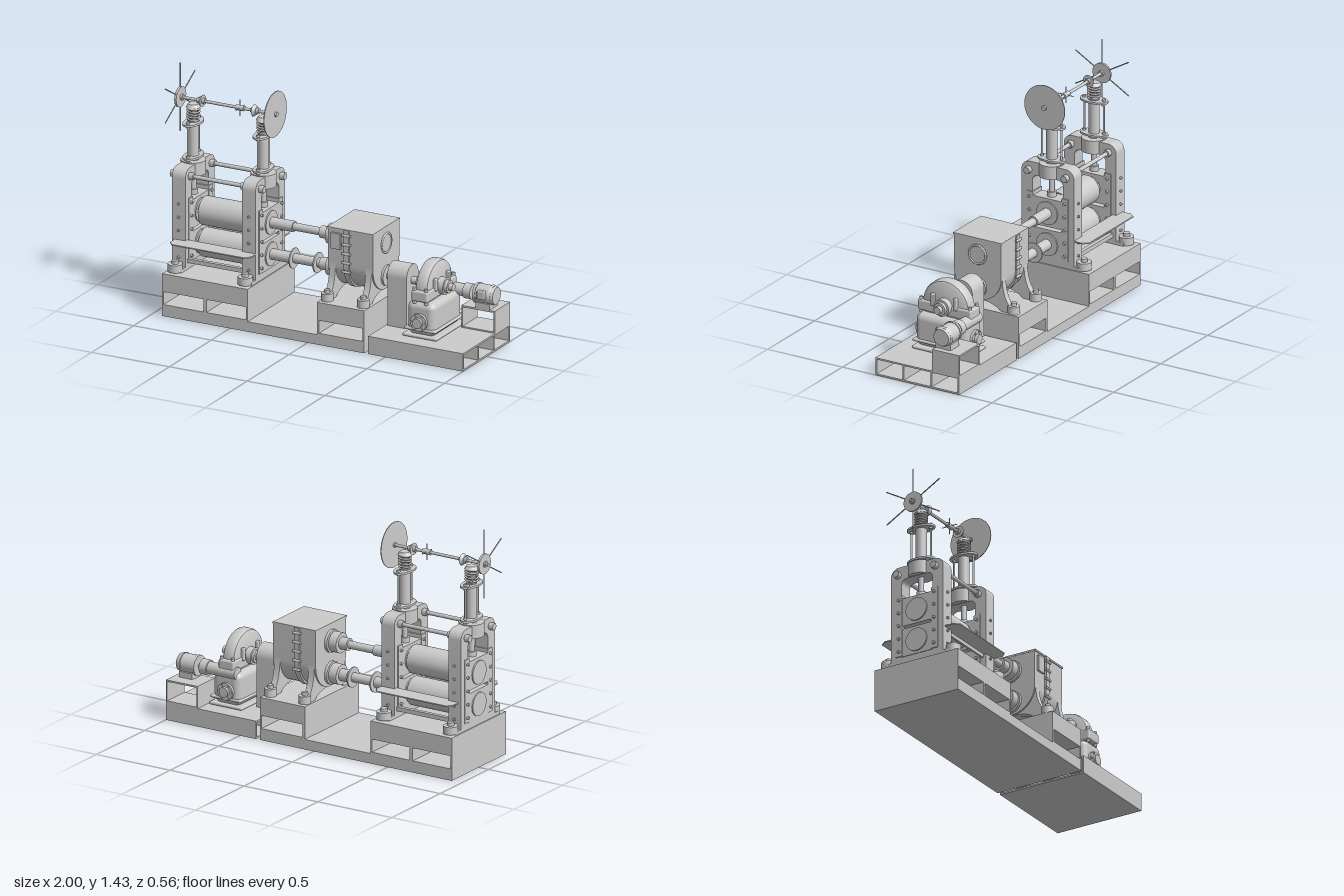
import * as THREE from 'three';
import { toCreasedNormals } from 'three/addons/utils/BufferGeometryUtils.js';
import { RoundedBoxGeometry } from 'three/addons/geometries/RoundedBoxGeometry.js';

const mat = new THREE.MeshStandardMaterial({ color: 0xcccccc });
let root;

function add(name, geo, x = 0, y = 0, z = 0) {
  const m = new THREE.Mesh(geo, mat);
  m.name = name;
  m.position.set(x, y, z);
  root.add(m);
  return m;
}

// Box given by its limits, optionally with rounded edges
function box(name, x0, x1, y0, y1, z0, z1, r = 0) {
  const s = [x1 - x0, y1 - y0, z1 - z0];
  const geo = r ? new RoundedBoxGeometry(...s, 3, r) : new THREE.BoxGeometry(...s);
  return add(name, geo, (x0 + x1) / 2, (y0 + y1) / 2, (z0 + z1) / 2);
}

// Cylinder from a to b along one axis; c holds the two other coordinates in order
function rod(name, axis, r, a, b, c, sides = 32, r2 = r) {
  const geo = new THREE.CylinderGeometry(r2, r, b - a, sides);
  const mid = (a + b) / 2;
  if (axis === 'x') return add(name, geo.rotateZ(-Math.PI / 2), mid, c[0], c[1]);
  if (axis === 'z') return add(name, geo.rotateX(Math.PI / 2), c[0], c[1], mid);
  return add(name, geo, c[0], mid, c[1]);
}

// Extrude a (z, y) shape from x0 to x1
function slab(name, shape, x0, x1) {
  const geo = new THREE.ExtrudeGeometry(shape, { depth: x1 - x0, bevelEnabled: false, curveSegments: 20 });
  geo.rotateY(Math.PI / 2);
  return add(name, toCreasedNormals(geo, 0.5), x0, 0, 0);
}

// Upright outline with two rounded top corners
function arch(P, w, y0, y1, r) {
  const s = new P();
  s.moveTo(-w, y0).lineTo(w, y0).lineTo(w, y1 - r);
  s.absarc(w - r, y1 - r, r, 0, Math.PI / 2, false);
  s.lineTo(-w + r, y1);
  s.absarc(-w + r, y1 - r, r, Math.PI / 2, Math.PI, false);
  s.lineTo(-w, y0);
  return s;
}

function buildBases() {
  box('basePlate', -0.935, 0.365, 0, 0.06, -0.28, 0.28);
  // Pedestals with openings running from front to back
  const pedestal = (name, x0, x1, posts) => {
    box(name + 'Top', x0, x1, 0.147, 0.255, -0.28, 0.28);
    box(name + 'Floor', x0, x1, 0.06, 0.07, -0.28, 0.28);
    for (const [a, b] of posts) box(name + 'Web', a, b, 0.07, 0.147, -0.28, 0.28);
  };
  pedestal('millPedestal', -0.935, -0.385, [[-0.935, -0.925], [-0.67, -0.65], [-0.395, -0.385]]);
  pedestal('gearPedestal', 0.06, 0.365, [[0.06, 0.075], [0.353, 0.365]]);
  // Hollow drive base with three cells open at the end
  box('driveBaseFloor', 0.39, 1, 0, 0.01, -0.28, 0.28);
  box('driveBaseTop', 0.39, 1, 0.097, 0.107, -0.28, 0.28);
  for (const z of [-0.275, -0.093, 0.093, 0.275]) box('driveBaseWeb', 0.39, 1, 0.01, 0.097, z - 0.005, z + 0.005);
  // Motor stand
  box('motorStandTop', 0.785, 1, 0.23, 0.24, -0.28, -0.1);
  box('motorStandFloor', 0.785, 1, 0.107, 0.115, -0.28, -0.1);
  for (const x of [0.785, 0.992]) box('motorStandSide', x, x + 0.008, 0.115, 0.23, -0.28, -0.1);
}

function bolt(x, y, z, r = 0.035) {
  rod('footPad', 'y', r, y, y + 0.045, [x, z]);
  rod('footNut', 'y', r * 0.5, y + 0.045, y + 0.065, [x, z], 6);
}

function buildHousing(cx, out) {
  const x0 = cx - 0.043, x1 = cx + 0.043;
  const shape = arch(THREE.Shape, 0.175, 0.29, 0.86, 0.055);
  shape.holes.push(arch(THREE.Path, 0.103, 0.33, 0.782, 0.035));
  slab('millHousing', shape, x0, x1);
  rod('housingBoss', 'y', 0.073, 0.785, 0.865, [cx, 0]);
  box('housingSill', x0, x1, 0.255, 0.29, -0.175, 0.175);
  for (const s of [-1, 1]) {
    box('housingFoot', x0, x1, 0.255, 0.275, Math.min(s * 0.17, s * 0.225), Math.max(s * 0.17, s * 0.225));
    bolt(cx, 0.26, s * 0.217, 0.043);
    rod('tieNut', 'x', 0.022, cx - 0.073, cx + 0.073, [0.81, s * 0.125], 6);
    // Guide strips with bolt rows on the housing legs
    box('guideStrip', x0 - 0.006, x1 + 0.006, 0.3, 0.68, s * 0.118 - 0.022, s * 0.118 + 0.022);
    for (let i = 0; i < 5; i++) {
      rod('stripBolt', 'x', 0.009, x0 - 0.018, x1 + 0.018, [0.33 + i * 0.08, s * 0.118], 8);
      rod('sideBolt', 'z', 0.008, Math.min(s * 0.17, s * 0.185), Math.max(s * 0.17, s * 0.185), [cx, 0.33 + i * 0.08], 8);
    }
  }
  // Bearing chocks
  for (const y of [0.38, 0.57]) {
    box('bearingChock', x0 - 0.004, x1 + 0.004, y - 0.085, y + 0.088, -0.1, 0.1);
    rod('chockCover', 'x', 0.07, cx - 0.055, cx + 0.055, [y, 0]);
  }
  // Screw-down column
  rod('pressScrew', 'y', 0.017, 0.66, 0.8, [cx, 0], 20);
  rod('screwFoot', 'y', 0.027, 0.66, 0.69, [cx, 0], 20);
  rod('screwColumn', 'y', 0.032, 0.86, 1.1, [cx, 0]);
  for (const y of [0.88, 1.083]) {
    rod('columnFlange', 'y', 0.05, y, y + 0.012, [cx, 0]).scale.z = 1.8;
    for (const s of [-1, 1]) rod('flangeNut', 'y', 0.011, y - 0.012, y + 0.024, [cx, s * 0.065], 6);
  }
  for (const s of [-1, 1]) rod('columnStud', 'y', 0.006, 0.865, 1.105, [cx, s * 0.065], 12);
  rod('screwHead', 'y', 0.024, 1.09, 1.2, [cx, 0]);
  const pts = [];
  for (let i = 0; i <= 80; i++) {
    const a = i / 80 * Math.PI * 10;
    pts.push(new THREE.Vector3(0.034 * Math.cos(a), 1.105 + 0.08 * i / 80, 0.034 * Math.sin(a)));
  }
  add('screwSpring', new THREE.TubeGeometry(new THREE.CatmullRomCurve3(pts), 160, 0.006, 8), cx, 0, 0);
  // Bevel gears on column and shaft
  rod('bevelGear', 'y', 0.042, 1.18, 1.2, [cx, 0], 24, 0.03);
  const gx = cx - out * 0.052;
  rod('shaftBevelGear', 'x', out > 0 ? 0.036 : 0.024, gx - 0.009, gx + 0.009, [1.225, 0], 24, out > 0 ? 0.024 : 0.036);
  rod('shaftGearHub', 'x', 0.017, gx - 0.025, gx + 0.025, [1.225, 0], 20);
}

function buildMill() {
  buildHousing(-0.885, -1);
  buildHousing(-0.434, 1);
  for (const y of [0.38, 0.57]) {
    rod('roll', 'x', 0.085, -0.81, -0.5, [y, 0], 48);
    rod('rollNeck', 'x', 0.05, -0.9, -0.42, [y, 0]);
  }
  for (const s of [-1, 1]) {
    rod('tieRod', 'x', 0.012, -0.95, -0.37, [0.81, s * 0.125], 20);
    box('lowerCrossBar', -0.85, -0.47, 0.295, 0.32, s * 0.14 - 0.012, s * 0.14 + 0.012);
    // Feed table with clipped outer corners
    const t = new THREE.Shape([[-0.91, 0.15], [-0.91, 0.23], [-0.885, 0.262], [-0.415, 0.262], [-0.39, 0.23], [-0.39, 0.15]]
      .map(([x, z]) => new THREE.Vector2(x, s * z)));
    const g = new THREE.ExtrudeGeometry(t, { depth: 0.007, bevelEnabled: false }).rotateX(Math.PI / 2);
    add('feedTable', g, 0, 0.434, 0);
    box('tableApron', -0.84, -0.48, 0.405, 0.428, s * 0.155 - 0.006, s * 0.155 + 0.006);
  }
  // Adjusting shaft, handwheel, dial and coupling
  rod('adjustShaft', 'x', 0.009, -1, -0.345, [1.225, 0], 16);
  rod('handwheel', 'x', 0.06, -0.976, -0.963, [1.225, 0], 40);
  rod('handwheelHub', 'x', 0.018, -0.985, -0.95, [1.225, 0], 20);
  for (let i = 0; i < 3; i++) {
    rod('handwheelSpokes', 'y', 0.0035, 1.02, 1.43, [-0.97, 0], 8).rotation.x = i * Math.PI / 3;
  }
  rod('dialDisc', 'x', 0.135, -0.362, -0.357, [1.225, 0], 64);
  rod('dialHub', 'x', 0.014, -0.372, -0.345, [1.225, 0], 20);
  rod('shaftCoupling', 'x', 0.016, -0.61, -0.558, [1.225, 0], 20);
  rod('couplingHandle', 'y', 0.0025, 1.175, 1.275, [-0.584, 0], 8);
  rod('couplingHandle', 'z', 0.0025, -0.05, 0.05, [-0.584, 1.225], 8);
}

function buildSpindles() {
  for (const y of [0.38, 0.57]) {
    rod('spindleSleeve', 'x', 0.032, -0.4, -0.235, [y, 0]);
    rod('spindle', 'x', y > 0.5 ? 0.023 : 0.028, -0.235, 0.07, [y, 0]);
    rod('spindleCollar', 'x', 0.036, -0.06, 0, [y, 0]);
    rod('spindleCoupling', 'x', 0.06, -0.007, 0.045, [y, 0], 40);
    rod('gearboxCover', 'x', 0.068, 0.05, 0.075, [y, 0], 40);
  }
  for (const x of [-0.237, -0.083]) rod('spindleDisc', 'x', 0.06, x - 0.004, x + 0.004, [0.38, 0], 40);
}

function buildGearbox() {
  // Body with a rounded belly
  const belly = (w, top, b) => {
    const s = new THREE.Shape();
    s.moveTo(w, top).lineTo(-w, top).lineTo(-w, b + w);
    s.absarc(0, b + w, w, Math.PI, Math.PI * 2, false);
    return s;
  };
  slab('gearboxBody', belly(0.157, 0.672, 0.3), 0.067, 0.355);
  slab('gearboxSeam', belly(0.168, 0.672, 0.29), 0.172, 0.205);
  box('gearboxLid', 0.065, 0.357, 0.664, 0.675, -0.16, 0.163);
  // End legs curving out to the feet
  for (const x of [0.068, 0.3]) {
    const s = new THREE.Shape();
    s.moveTo(-0.25, 0.255).lineTo(-0.25, 0.28).quadraticCurveTo(-0.165, 0.29, -0.157, 0.46);
    s.lineTo(0.157, 0.46).quadraticCurveTo(0.165, 0.29, 0.25, 0.28).lineTo(0.25, 0.255).lineTo(0.15, 0.255);
    s.quadraticCurveTo(0.1, 0.3, 0, 0.3).quadraticCurveTo(-0.1, 0.3, -0.15, 0.255);
    slab('gearboxLeg', s, x + 0.008, x + 0.046);
    for (const z of [-0.225, 0.225]) bolt(x + 0.029, 0.257, z);
  }
  box('inspectionPlate', 0.09, 0.15, 0.55, 0.645, 0.15, 0.17);
  for (const z of [-0.168, 0.168]) for (let i = 0; i < 5; i++) rod('seamBolt', 'x', 0.008, 0.162, 0.215, [0.42 + i * 0.055, z], 8);
  add('endRing', new THREE.TorusGeometry(0.056, 0.006, 10, 48).rotateY(Math.PI / 2), 0.358, 0.575, 0);
  rod('endCover', 'x', 0.05, 0.35, 0.36, [0.575, 0], 40);
  rod('inputFlange', 'x', 0.06, 0.35, 0.368, [0.38, 0], 40);
  rod('inputShaft', 'x', 0.022, 0.36, 0.64, [0.38, 0]);
}

function buildDrive() {
  slab('couplingGuard', arch(THREE.Shape, 0.07, 0.105, 0.475, 0.069), 0.4, 0.525);
  // Worm reducer: base, rounded tub, wheel case
  box('reducerBase', 0.555, 0.775, 0.107, 0.125, -0.18, 0.18, 0.008);
  box('reducerTub', 0.575, 0.755, 0.12, 0.32, -0.172, 0.172, 0.04);
  box('reducerRim', 0.565, 0.768, 0.15, 0.166, -0.18, 0.18, 0.007);
  box('splitFlange', 0.61, 0.715, 0.325, 0.39, -0.178, 0.178, 0.012);
  const profile = [[0, -0.043], [0.135, -0.043], [0.15, -0.035], [0.156, -0.02], [0.156, 0.02], [0.15, 0.035], [0.135, 0.043], [0, 0.043]];
  const wheel = new THREE.LatheGeometry(profile.map(([r, h]) => new THREE.Vector2(r, h)), 56);
  add('wheelCase', toCreasedNormals(wheel.rotateZ(-Math.PI / 2), 0.7), 0.662, 0.375, 0);
  rod('wheelBearing', 'x', 0.05, 0.58, 0.745, [0.38, 0], 40);
  rod('wheelBearingCap', 'x', 0.038, 0.565, 0.765, [0.38, 0], 32);
  rod('wheelShaft', 'x', 0.022, 0.54, 0.79, [0.38, 0]);
  for (const s of [-1, 1]) {
    const z = (a, b) => s > 0 ? [a, b] : [-b, -a];
    rod('sidePort', 'z', 0.052, ...z(0.165, 0.188), [0.662, 0.205], 40);
    rod('sidePortCap', 'z', 0.03, ...z(0.185, 0.205), [0.662, 0.205]);
    for (let i = 0; i < 6; i++) {
      const a = i * Math.PI / 3;
      rod('portBolt', 'z', 0.007, ...z(0.185, 0.194), [0.662 + 0.042 * Math.cos(a), 0.205 + 0.042 * Math.sin(a)], 6);
    }
    box('caseLug', 0.6, 0.724, 0.37, 0.445, s * 0.075 - 0.012, s * 0.075 + 0.012, 0.006);
    for (const x of [0.625, 0.7]) rod('flangeBolt', 'y', 0.011, 0.31, 0.405, [x, s * 0.162], 6);
  }
  // Motor and its coupling
  const my = 0.315, mz = -0.15;
  rod('wormHousing', 'x', 0.036, 0.6, 0.79, [my, mz]);
  rod('motorShaft', 'x', 0.014, 0.78, 0.87, [my, mz], 20);
  rod('motorCoupling', 'x', 0.045, 0.787, 0.835, [my, mz]);
  rod('motorBody', 'x', 0.056, 0.865, 0.97, [my, mz], 40);
  rod('motorEndBell', 'x', 0.06, 0.858, 0.874, [my, mz], 40);
  rod('motorFanCover', 'x', 0.06, 0.955, 0.985, [my, mz], 40, 0.05);
  box('motorFoot', 0.875, 0.965, 0.238, 0.275, mz - 0.05, mz + 0.05);
  box('terminalBox', 0.89, 0.94, 0.3, 0.35, mz + 0.035, mz + 0.067, 0.006);
}

export function createModel() {
  root = new THREE.Group();
  root.name = 'rollingMill';
  buildBases();
  buildMill();
  buildSpindles();
  buildGearbox();
  buildDrive();
  return root;
}
